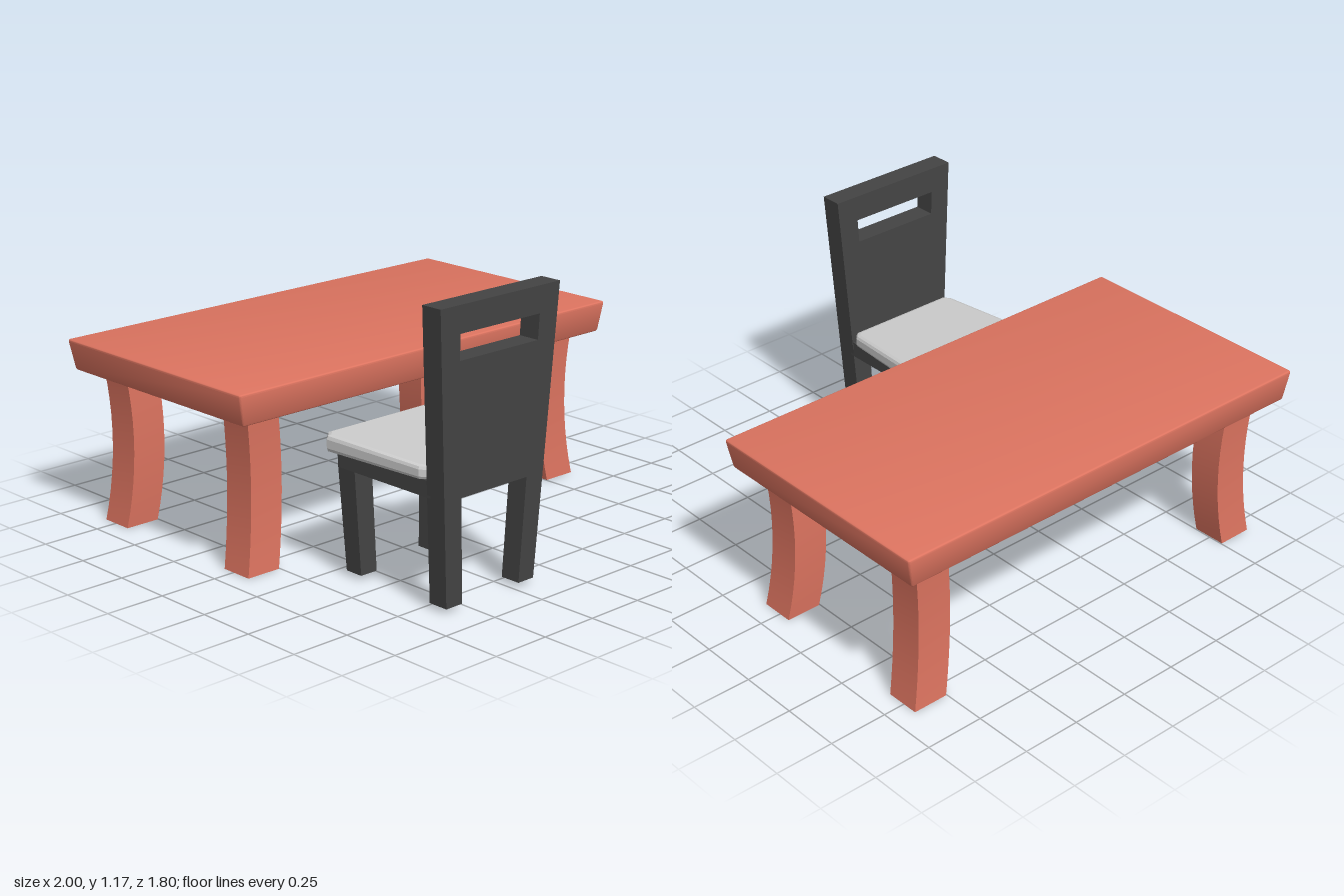
import * as THREE from 'three';
import { toCreasedNormals } from 'three/addons/utils/BufferGeometryUtils.js';
import { RoundedBoxGeometry } from 'three/addons/geometries/RoundedBoxGeometry.js';

const wood = new THREE.MeshStandardMaterial({ color: 0xdd7460 });
const dark = new THREE.MeshStandardMaterial({ color: 0x444444 });
const fabric = new THREE.MeshStandardMaterial({ color: 0xcccccc });
const lerp = THREE.MathUtils.lerp;

// Move every vertex by a rule, then rebuild normals with sharp edges kept
function reshape(geometry, rule, crease = 0.6) {
  const p = geometry.attributes.position;
  const v = new THREE.Vector3();
  for (let i = 0; i < p.count; i++) {
    rule(v.fromBufferAttribute(p, i));
    p.setXYZ(i, v.x, v.y, v.z);
  }
  return toCreasedNormals(geometry, crease);
}

function addMesh(parent, name, geometry, material) {
  const mesh = new THREE.Mesh(geometry, material);
  mesh.name = name;
  parent.add(mesh);
  return mesh;
}

const points = (list) => list.map(([x, y]) => new THREE.Vector2(x, y));

function createTable() {
  const table = new THREE.Group();
  table.name = 'table';
  table.position.z = -0.3625;

  // Thick top, tapering towards its underside
  const top = reshape(new RoundedBoxGeometry(2, 0.13, 1.075, 2, 0.01), (v) => {
    const t = (0.065 - v.y) / 0.13;
    v.x *= 1 - 0.025 * t;
    v.z *= 1 - 0.025 * t;
    v.y += 0.7;
  });
  addMesh(table, 'tableTop', top, wood);

  // Four square legs bowed towards the middle
  for (const sx of [-1, 1]) {
    for (const sz of [-1, 1]) {
      const leg = reshape(new THREE.BoxGeometry(0.152, 0.64, 0.143, 1, 10, 1), (v) => {
        const y = v.y + 0.32;
        v.x += sx * (0.83 - 0.194 * y + 0.268 * y * y);
        v.z += sz * (0.38 - 0.0914 * y + 0.1267 * y * y);
        v.y = y;
      });
      addMesh(table, `${sz > 0 ? 'front' : 'back'}${sx > 0 ? 'Left' : 'Right'}TableLeg`, leg, wood);
    }
  }
  return table;
}

function createChair() {
  const chair = new THREE.Group();
  chair.name = 'chair';
  chair.position.x = -0.38;

  // Backrest and rear legs in one flared, leaning panel with a hand slot
  const outline = new THREE.Shape(points([
    [-0.23, 0.02], [-0.15, 0.02], [-0.17, 0.44], [0.17, 0.44],
    [0.15, 0.02], [0.23, 0.02], [0.305, 1.172], [-0.305, 1.172],
  ]));
  outline.holes.push(new THREE.Path(points([
    [-0.2, 0.965], [-0.204, 1.065], [0.204, 1.065], [0.2, 0.965],
  ])));
  const back = reshape(
    new THREE.ExtrudeGeometry(outline, { depth: 1, bevelEnabled: false }),
    (v) => { v.z = lerp(0.772 + 0.0296 * v.y, 0.859 + 0.034 * v.y, v.z); }, 0.2);
  addMesh(chair, 'chairBack', back, dark);

  // Seat frame
  const frame = new THREE.BoxGeometry(0.516, 0.065, 0.5);
  frame.translate(0, 0.4725, 0.554);
  addMesh(chair, 'seatFrame', frame, dark);

  // Front legs, spreading slightly towards the seat
  for (const s of [-1, 1]) {
    const leg = reshape(new THREE.BoxGeometry(1, 1, 1), (v) => {
      const t = v.y + 0.5;
      v.x = s * 0.19 + v.x * 0.08 + t * (s * 0.024 + v.x * 0.008);
      v.z = lerp(0.3595, 0.35, t) + v.z * lerp(0.081, 0.092, t);
      v.y = lerp(0.02, 0.46, t);
    }, 0.2);
    addMesh(chair, s > 0 ? 'frontLeftChairLeg' : 'frontRightChairLeg', leg, dark);
  }

  // Cushion: bevelled trapezoid with cut corners, thicker at the front
  const bevel = 0.018;
  const plan = new THREE.Shape(points([
    [-0.262, 0.278], [0.262, 0.278], [0.287, 0.303], [0.251, 0.744],
    [0.235, 0.762], [-0.235, 0.762], [-0.251, 0.744], [-0.287, 0.303],
  ]));
  const cushion = new THREE.ExtrudeGeometry(plan, {
    depth: 1 - 2 * bevel / 0.07, bevelThickness: bevel / 0.07,
    bevelSize: bevel, bevelSegments: 2,
  });
  cushion.translate(0, 0, bevel / 0.07);
  reshape(cushion, () => {});
  const padded = reshape(cushion, (v) => {
    const h = 1 - v.z;
    const z = v.y;
    const f = (0.78 - z) / 0.52;
    v.set(v.x, lerp(lerp(0.5, 0.504, f), lerp(0.555, 0.576, f), h), z);
  }, 0.3);
  addMesh(chair, 'seatCushion', padded, fabric);
  return chair;
}

export function createModel() {
  const model = new THREE.Group();
  model.name = 'tableAndChair';
  model.add(createTable(), createChair());
  return model;
}
